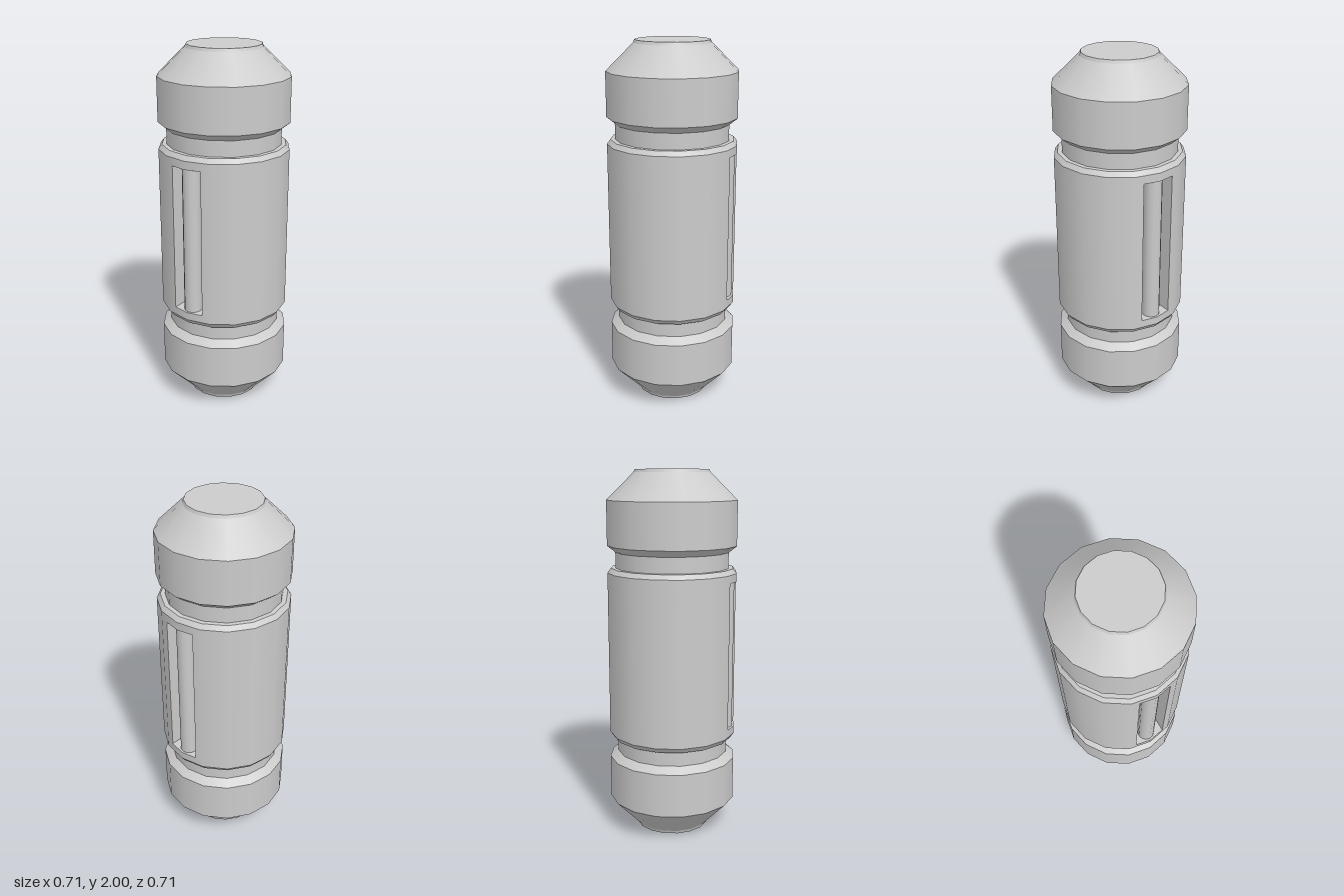
import * as THREE from 'three';
import { mergeGeometries } from 'three/addons/utils/BufferGeometryUtils.js';

const SIDES = 16;
const R = 0.354;
const SLOT_BOTTOM = 0.6, SLOT_TOP = 1.41;
const SLOT_HALF = 0.09, SLOT_BACK = 0.25;
const material = new THREE.MeshStandardMaterial({ color: 0xcccccc });
const doubleSided = new THREE.MeshStandardMaterial({ color: 0xcccccc, side: THREE.DoubleSide });

function addMesh(parent, name, geometry, mat = material) {
  const mesh = new THREE.Mesh(geometry, mat);
  mesh.name = name;
  parent.add(mesh);
  return mesh;
}

// Turned part, smooth around the axis and creased at each profile corner
function turned(profile, sides = SIDES, start = 0, length = Math.PI * 2) {
  const bands = [];
  for (let i = 0; i < profile.length - 1; i++) {
    const pair = [profile[i], profile[i + 1]].map(([r, y]) => new THREE.Vector2(r, y));
    bands.push(new THREE.LatheGeometry(pair, sides, start, length));
  }
  return mergeGeometries(bands);
}

// Vertical wall following a path of [x, z] points; radial gives round shading
function wall(path, radial) {
  const positions = [], normals = [];
  for (let i = 0; i < path.length - 1; i++) {
    const [a, b] = [path[i], path[i + 1]];
    const flat = [a[1] - b[1], b[0] - a[0]];
    const corners = [[a, 0], [b, 0], [b, 1], [a, 0], [b, 1], [a, 1]];
    for (const [p, top] of corners) {
      const n = radial ? p : flat;
      const len = Math.hypot(n[0], n[1]);
      positions.push(p[0], top ? SLOT_TOP : SLOT_BOTTOM, p[1]);
      normals.push(n[0] / len, 0, n[1] / len);
    }
  }
  const g = new THREE.BufferGeometry();
  g.setAttribute('position', new THREE.Float32BufferAttribute(positions, 3));
  g.setAttribute('normal', new THREE.Float32BufferAttribute(normals, 3));
  return g;
}

// Recess with a rod standing inside it, facing +x
function makeSlot() {
  const slot = new THREE.Group();
  const step = Math.PI / 8;
  const vx = R * Math.cos(step), vz = R * Math.sin(step);
  const edge = R - (SLOT_HALF / vz) * (R - vx);

  addMesh(slot, 'slotFrontBorder', wall([[vx, vz], [edge, SLOT_HALF]], true));
  addMesh(slot, 'slotBackBorder', wall([[edge, -SLOT_HALF], [vx, -vz]], true));
  addMesh(slot, 'slotRecess', wall([
    [edge, SLOT_HALF], [SLOT_BACK, SLOT_HALF],
    [SLOT_BACK, -SLOT_HALF], [edge, -SLOT_HALF],
  ], false));

  const outline = [[SLOT_BACK, -SLOT_HALF], [edge, -SLOT_HALF], [R, 0], [edge, SLOT_HALF], [SLOT_BACK, SLOT_HALF]];
  const cap = new THREE.ShapeGeometry(new THREE.Shape(outline.map(([x, z]) => new THREE.Vector2(x, z))));
  cap.rotateX(Math.PI / 2);
  addMesh(slot, 'slotCeiling', cap, doubleSided).position.y = SLOT_TOP;
  addMesh(slot, 'slotFloor', cap, doubleSided).position.y = SLOT_BOTTOM;

  const rod = new THREE.CylinderGeometry(0.048, 0.048, SLOT_TOP - SLOT_BOTTOM, 12, 1, true);
  addMesh(slot, 'slotRod', rod).position.set(0.295, (SLOT_TOP + SLOT_BOTTOM) / 2, 0);
  return slot;
}

export function createModel() {
  const model = new THREE.Group();
  model.name = 'canister';

  // Lower cap, groove and the collar below the slots
  addMesh(model, 'lowerCap', turned([
    [0, 0], [0.2, 0], [0.207, 0.018], [R, 0.17], [R, 0.41], [0.31, 0.445], [0.31, 0.53],
  ]));
  addMesh(model, 'lowerCollar', turned([[0.31, 0.53], [0.335, 0.53], [R, 0.557], [R, SLOT_BOTTOM]]));

  // Collar above the slots, groove and upper cap
  addMesh(model, 'upperCollar', turned([[R, SLOT_TOP], [R, 1.455], [0.335, 1.48], [0.31, 1.48]]));
  addMesh(model, 'upperCap', turned([
    [0.31, 1.48], [0.31, 1.565], [R, 1.6], [R, 1.84], [0.207, 1.984], [0.2, 2], [0, 2],
  ]));

  // Front and back body shells, with a slot on each side between them
  const arc = Math.PI * 0.75;
  for (const [i, side] of ['left', 'right'].entries()) {
    const shell = turned([[R, SLOT_BOTTOM], [R, SLOT_TOP]], 6, i * Math.PI - arc / 2, arc);
    addMesh(model, i ? 'backShell' : 'frontShell', shell);
    const slot = makeSlot();
    slot.name = side + 'Slot';
    slot.rotation.y = i * Math.PI;
    model.add(slot);
  }
  return model;
}
